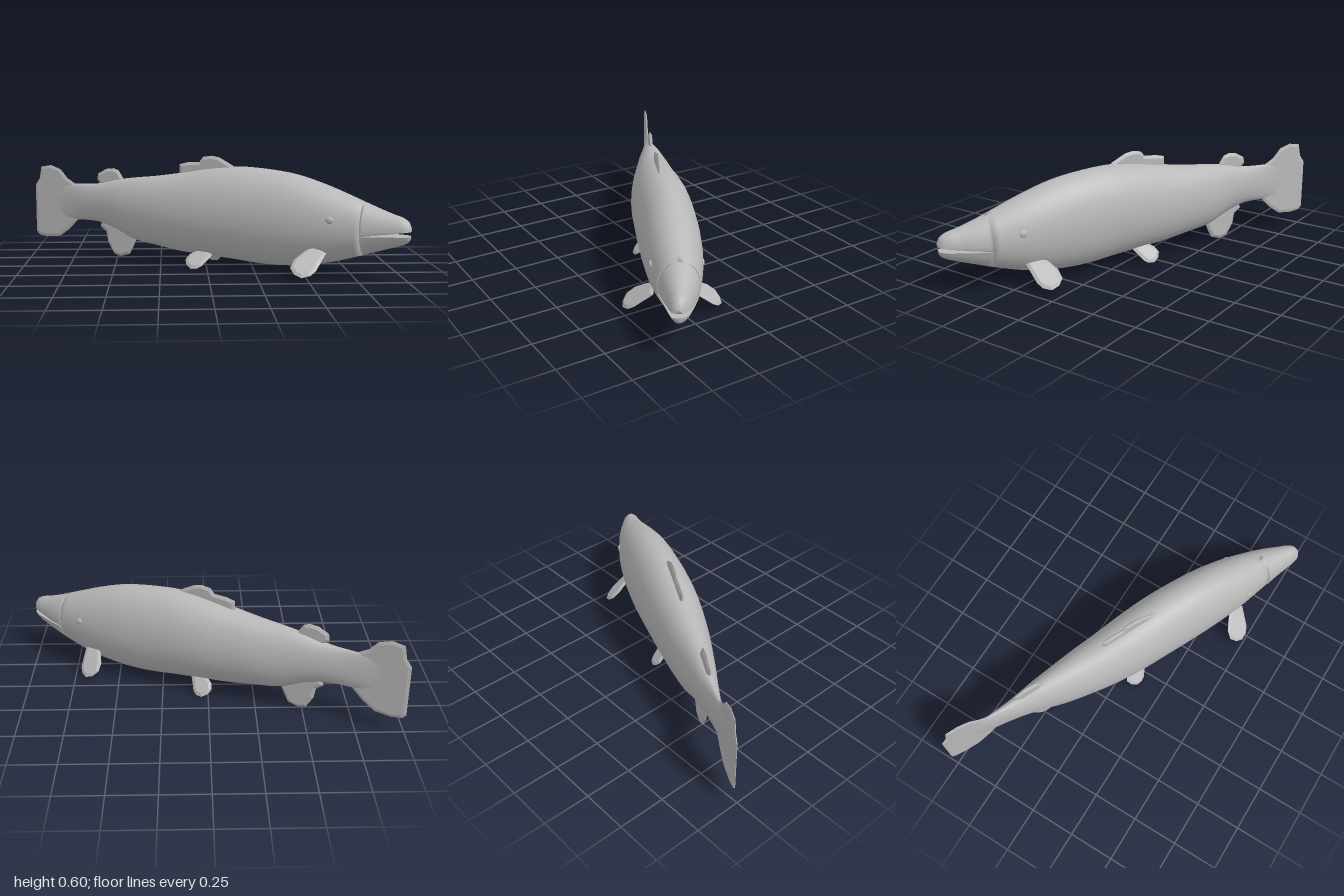
import * as THREE from 'three';

// Body stations: [s along the fish, sideways centre, top y, bottom y, half width]
const STATIONS = [
  [-1.08, 0, 0.36, 0.24, 0.003], [-0.95, 0, 0.4, 0.205, 0.008], [-0.86, 0, 0.408, 0.2, 0.019],
  [-0.68, 0, 0.42, 0.195, 0.05], [-0.56, 0, 0.447, 0.16, 0.074], [-0.45, 0, 0.463, 0.112, 0.095],
  [-0.3, 0, 0.48, 0.088, 0.12], [-0.15, 0, 0.503, 0.066, 0.137], [0, -0.005, 0.53, 0.055, 0.15],
  [0.17, -0.015, 0.549, 0.044, 0.156], [0.34, -0.024, 0.543, 0.03, 0.156], [0.51, -0.03, 0.52, 0.034, 0.151],
  [0.68, -0.034, 0.47, 0.06, 0.136], [0.84, -0.034, 0.41, 0.105, 0.108], [0.95, -0.03, 0.368, 0.142, 0.084],
  [1.03, -0.022, 0.341, 0.168, 0.063], [1.09, -0.015, 0.322, 0.19, 0.046], [1.118, -0.01, 0.3, 0.208, 0.03],
  [1.127, -0.008, 0.278, 0.225, 0.014],
];
const spline = new THREE.CubicInterpolant(
  STATIONS.map((r) => r[0]), STATIONS.flatMap((r) => r.slice(1)), 4);
const MOUTH = 0.88;

// Lofted closed skin between two stations; clampY flattens one side for the mouth
function loft(s0, s1, rings, clampY = (y) => y) {
  const sides = 36, pos = [], index = [];
  for (let i = 0; i <= rings; i++) {
    const s = s0 + (s1 - s0) * i / rings;
    const [c, top, bottom, w] = spline.evaluate(s);
    for (let j = 0; j < sides; j++) {
      const a = j / sides * Math.PI * 2;
      const y = (top + bottom) / 2 + (top - bottom) / 2 * Math.cos(a);
      pos.push(s, clampY(y, s), c + w * Math.sin(a));
    }
  }
  for (let i = 0; i < rings; i++) {
    for (let j = 0; j < sides; j++) {
      const a = i * sides + j, b = i * sides + (j + 1) % sides;
      index.push(a, b, a + sides, b, b + sides, a + sides);
    }
  }
  // End caps
  for (let j = 1; j < sides - 1; j++) {
    const e = rings * sides;
    index.push(0, j + 1, j, e, e + j, e + j + 1);
  }
  const g = new THREE.BufferGeometry();
  g.setAttribute('position', new THREE.Float32BufferAttribute(pos, 3));
  g.setIndex(index);
  g.computeVertexNormals();
  return g;
}

// Thin fin plate with edges that taper off
function finGeometry(points, thick = 0.008) {
  const shape = new THREE.Shape(points.map((p) => new THREE.Vector2(p[0], p[1])));
  const g = new THREE.ExtrudeGeometry(shape, {
    depth: 0.003, bevelEnabled: true, bevelThickness: thick, bevelSize: 0.016, bevelOffset: -0.016, bevelSegments: 1,
  });
  return g.translate(0, 0, -0.0015);
}

export function createModel() {
  const fish = new THREE.Group();
  fish.name = 'fish';
  const grey = new THREE.MeshStandardMaterial({ color: 0xb8b8b8, side: THREE.DoubleSide });
  grey.name = 'fishGrey';
  const add = (name, geometry) => {
    const m = new THREE.Mesh(geometry, grey);
    m.name = name;
    fish.add(m);
    return m;
  };

  // Body and the two jaws
  add('body', loft(-1.08, MOUTH, 60));
  const open = (s) => Math.min(1, (s - MOUTH) / 0.24);
  add('upperJaw', loft(MOUTH, 1.127, 20, (y, s) => Math.max(y, 0.225 + 0.034 * open(s))));
  add('lowerJaw', loft(MOUTH, 1.122, 20, (y, s) => Math.min(y, 0.225 + 0.009 * open(s))));

  // Upright fins on the centre line
  const K = 1.128;
  const upright = {
    tailFin: [[-0.7, 0.38], [-0.76, 0.415], [-0.8, 0.44], [-0.84, 0.49], [-0.9, 0.512], [-0.96, 0.5], [-0.972, 0.43],
      [-0.998, 0.39], [-0.998, 0.11], [-0.98, 0.09], [-0.93, 0.082], [-0.85, 0.092], [-0.79, 0.14], [-0.74, 0.195], [-0.7, 0.23]],
    adiposeFin: [[-0.46, 0.42], [-0.465, 0.46], [-0.49, 0.5], [-0.52, 0.51], [-0.56, 0.505], [-0.61, 0.475], [-0.615, 0.44], [-0.58, 0.4]],
    dorsalFin: [[0.17, 0.52], [0.14, 0.555], [0.07, 0.595], [0.03, 0.603], [-0.015, 0.595], [-0.035, 0.567], [-0.1, 0.562],
      [-0.142, 0.55], [-0.142, 0.48]],
    analFin: [[-0.37, 0.17], [-0.39, 0.11], [-0.41, 0.06], [-0.43, 0.02], [-0.48, 0.003], [-0.52, 0.015], [-0.555, 0.08],
      [-0.565, 0.14], [-0.6, 0.17], [-0.58, 0.23]],
  };
  for (const [name, pts] of Object.entries(upright)) {
    add(name, finGeometry(pts.map(([x, y]) => [x * K, y]), name === 'tailFin' ? 0.005 : 0.009));
  }

  // Paired fins: outline in chord and length, placed from root to tip
  const paired = [
    { name: 'PectoralFin', root: [0.68, 0.145, 0.095], tip: [0.605, 0.033, 0.245], chord: [1, -0.25, 0], width: 0.066, shift: -0.03 },
    { name: 'PelvicFin', root: [0.04, 0.085, 0.05], tip: [-0.05, 0.01, 0.13], chord: [1, -0.1, 0], width: 0.055, shift: -0.01 },
  ];
  for (const f of paired) {
    for (const side of [1, -1]) {
      const flip = (p, dz = 0) => new THREE.Vector3(p[0], p[1], p[2] * side + dz);
      const dz = f.name === 'PectoralFin' ? -0.024 : 0;
      const root = flip(f.root, dz);
      const v = flip(f.tip, dz).sub(root);
      const len = v.length();
      v.normalize();
      const u = flip(f.chord);
      u.addScaledVector(v, -u.dot(v)).normalize();
      const w = f.width, outline = [[-0.55, 0], [-0.85, 0.35], [-1, 0.65], [-0.8, 0.9], [-0.2, 1], [0.45, 0.98],
        [0.9, 0.8], [1, 0.6], [0.85, 0.3], [0.7, 0]];
      const g = finGeometry(outline.map(([a, b]) => [a * w + f.shift * (1 - b) * 0.3, b * len]), 0.008);
      g.applyMatrix4(new THREE.Matrix4().makeBasis(u, v, u.clone().cross(v)).setPosition(root));
      add((side > 0 ? 'right' : 'left') + f.name, g);
    }
  }

  // Eyes
  for (const side of [1, -1]) {
    const [c, top, bottom, w] = spline.evaluate(0.73);
    const k = (0.305 - (top + bottom) / 2) / ((top - bottom) / 2);
    const eye = add(side > 0 ? 'rightEye' : 'leftEye', new THREE.SphereGeometry(1, 16, 10));
    eye.scale.set(0.021, 0.018, 0.009);
    eye.position.set(0.73, 0.305, c + side * w * Math.sqrt(1 - k * k));
  }

  // Swing the fish so the head points to the front left
  fish.rotation.y = -Math.atan2(0.52, 1);
  const model = new THREE.Group();
  model.name = 'model';
  model.add(fish);
  return model;
}
